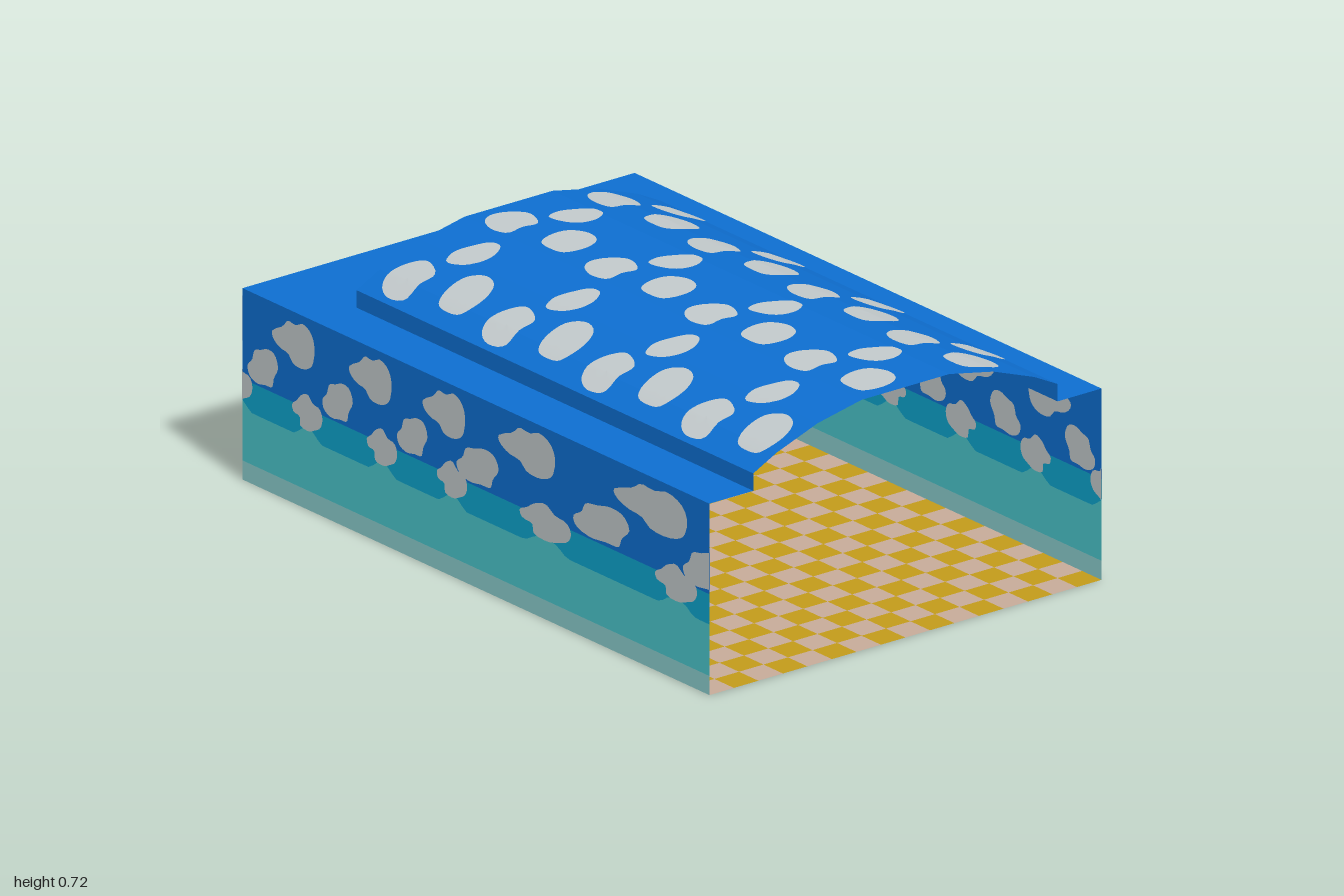
import * as THREE from 'three';
import { mergeGeometries } from 'three/addons/utils/BufferGeometryUtils.js';

const W = 0.67, L = 1, H = 0.55;          // half width, half length, wall height
const DOME_W = 0.52, DOME_BACK = -0.7;

const mat = (name, color) => {
  const m = new THREE.MeshStandardMaterial({ color, side: THREE.DoubleSide });
  m.name = name;
  return m;
};

// Cross-section of the raised roof
const half = [[0.52, 0.55], [0.52, 0.6], [0.44, 0.64], [0.3, 0.69], [0.15, 0.72]];
const arch = [...half.map(([x, y]) => [-x, y]), ...half.slice().reverse()];
const archHeight = (x) => {
  const a = Math.min(Math.abs(x), DOME_W);
  for (let i = half.length - 1; i > 1; i--) {
    const [x0, y0] = half[i], [x1, y1] = half[i - 1];
    if (a <= x0) return y0;
    if (a <= x1) return y0 + (y1 - y0) * (a - x0) / (x1 - x0);
  }
  return 0.6;
};

// Cloud outlines in the range -1..1
const outlines = {
  upper: [[-0.95, -0.5], [-1, 0.3], [-0.8, 0.8], [-0.45, 1], [-0.1, 0.8], [0.25, 0.85], [0.5, 0.5], [1, 0.1],
    [0.97, -0.2], [0.65, -0.5], [0.25, -0.6], [0, -0.95], [-0.45, -1], [-0.8, -0.8]],
  middle: [[-1, 0.25], [-0.75, 0.9], [-0.3, 1], [0.15, 0.8], [0.55, 0.65], [0.72, 0.1], [1, -0.25],
    [0.9, -0.75], [0.4, -1], [-0.15, -0.9], [-0.6, -0.85], [-0.72, -0.35]],
  lower: [[-1, 0], [-0.8, 0.5], [-0.38, 0.6], [0, 1], [0.45, 0.75], [0.7, 0.4], [1, 0.1], [0.9, -0.3],
    [0.52, -0.4], [0.45, -0.9], [-0.1, -1], [-0.5, -0.8], [-0.85, -0.55]],
  roofA: [[-1, -0.15], [-0.7, 0.65], [-0.2, 1], [0.4, 0.9], [0.97, 0.35], [1, -0.15], [0.6, -0.95], [0, -0.85], [-0.8, -1]],
  roofB: [[-1, 0.75], [-0.35, 1], [0.35, 0.7], [0.95, 0.2], [1, -0.5], [0.35, -1], [-0.4, -0.9], [-0.85, -0.3]],
  roofC: [[-1, -0.2], [-0.85, 0.6], [-0.1, 1], [0.6, 0.92], [1, 0.2], [0.8, -0.6], [0.1, -1], [-0.85, -0.85]],
};
const curves = {};
for (const k in outlines) {
  curves[k] = new THREE.CatmullRomCurve3(outlines[k].map(([x, y]) => new THREE.Vector3(x, y, 0)), true);
}

// Grid of faces whose points follow fn(s, t), both 0..1
function sheet(nu, nv, fn) {
  const g = new THREE.PlaneGeometry(1, 1, nu, nv);
  const p = g.attributes.position;
  for (let i = 0; i < p.count; i++) p.setXYZ(i, ...fn(p.getX(i) + 0.5, p.getY(i) + 0.5));
  g.computeVertexNormals();
  return g;
}

// Cloud laid on both sides of a surface; place(u, v, d) gives the point at offset d
function cloud(kind, u, v, w, h, place, d) {
  return mergeGeometries([-d, d].map((off) => sheet(32, 4, (s, t) => {
    const c = curves[kind].getPoint(s % 1);
    return place(u + c.x * w / 2 * t, v + c.y * h / 2 * t, off);
  })));
}

export function createModel() {
  const group = new THREE.Group();
  const blue = mat('deep blue', 0x0d6ed0);
  const cyan = mat('cyan', 0x0da3cc);
  const turquoise = mat('turquoise', 0x4ac5cb);
  const pale = mat('pale teal', 0x8acccc);
  const white = mat('cloud grey', 0xc2c9cb);
  const yellow = mat('tile yellow', 0xc29b1a);
  const beige = mat('tile beige', 0xc6aa98);
  const add = (name, geometry, material, parent = group) => {
    const m = new THREE.Mesh(geometry, material);
    m.name = name;
    parent.add(m);
    return m;
  };

  // Checkered floor
  const tiles = [[], []], nx = 16, nz = 24, tw = 2 * W / nx, tl = 2 * L / nz;
  for (let i = 0; i < nx; i++) {
    for (let j = 0; j < nz; j++) {
      tiles[(i + j) % 2].push(new THREE.PlaneGeometry(tw, tl).rotateX(-Math.PI / 2)
        .translate(-W + (i + 0.5) * tw, 0, -L + (j + 0.5) * tl));
    }
  }
  add('floorYellowTiles', mergeGeometries(tiles[0]), yellow);
  add('floorBeigeTiles', mergeGeometries(tiles[1]), beige);

  // Walls: four horizontal bands with three rows of clouds [position, width]
  const row = (start, w) => [0, 1, 2, 3].map((i) => [start + 0.3815 * i, w]);
  const backRows = {
    upper: row(-0.63, 0.205), middle: row(-0.488, 0.155), lower: row(-0.709, 0.15),
  };
  const sideRows = {
    upper: [[0.78, 0.18], [0.45, 0.18], [0.135, 0.18], [-0.22, 0.24], [-0.75, 0.31]],
    middle: [[0.91, 0.13], [0.59, 0.13], [0.27, 0.13], [-0.01, 0.18], [-0.54, 0.24], [-0.98, 0.18]],
    lower: [[1.02, 0.13], [0.72, 0.13], [0.4, 0.13], [0.1, 0.13], [-0.3, 0.22], [-0.86, 0.18]],
  };
  const rowY = { upper: [0.463, 0.13], middle: [0.353, 0.112], lower: [0.28, 0.105] };

  function wall(name, extent, rows, place) {
    const g = new THREE.Group();
    g.name = name;
    group.add(g);
    // the turquoise band rises in a small crest below each low cloud
    const crest = (u) => 0.203 + rows.lower.reduce(
      (sum, [c, w]) => sum + 0.028 * Math.exp(-(((u - c) / (w * 0.32)) ** 4)), 0);
    const levels = [() => 0, () => 0.055, crest, () => 0.29, () => H];
    [['paleBand', pale], ['turquoiseBand', turquoise], ['cyanBand', cyan], ['blueBand', blue]].forEach(([n, m], i) => {
      add(n, sheet(100, 1, (s, t) => {
        const u = (s * 2 - 1) * extent;
        return place(u, levels[i](u) * (1 - t) + levels[i + 1](u) * t, 0);
      }), m, g);
    });
    const clamped = (u, v, d) => place(THREE.MathUtils.clamp(u, -extent, extent), v, d);
    const parts = [];
    for (const k in rows) {
      for (const [u, w] of rows[k]) parts.push(cloud(k, u, rowY[k][0], w, rowY[k][1], clamped, 0.002));
    }
    add('wallClouds', mergeGeometries(parts), white, g);
  }
  wall('backWall', W, backRows, (u, v, d) => [u, v, -L + d]);
  wall('leftWall', L, sideRows, (u, v, d) => [W + d, v, u]);
  wall('rightWall', L, sideRows, (u, v, d) => [-W - d, v, -u]);

  // Flat roof around the raised part
  const rim = new THREE.Shape([
    [-W, -L], [-DOME_W, -L], [-DOME_W, -DOME_BACK], [DOME_W, -DOME_BACK],
    [DOME_W, -L], [W, -L], [W, L], [-W, L],
  ].map(([x, y]) => new THREE.Vector2(x, y)));
  add('flatRoof', new THREE.ShapeGeometry(rim).rotateX(-Math.PI / 2).translate(0, H, 0), blue);

  // Raised arched roof, open at the front and closed at the back
  const shell = sheet(arch.length - 1, 1, (s, t) => {
    const [x, y] = arch[Math.round(s * (arch.length - 1))];
    return [x, y, L + (DOME_BACK - L) * t];
  }).toNonIndexed();
  shell.computeVertexNormals();
  add('archedRoof', shell, blue);
  const end = new THREE.Shape(arch.map(([x, y]) => new THREE.Vector2(x, y)));
  add('archedRoofEnd', new THREE.ShapeGeometry(end).rotateY(Math.PI)
    .translate(0, 0, DOME_BACK), blue);

  // Clouds on the arched roof, three to a tile
  const onRoof = (u, v, d) => [u, archHeight(u) + d, -v];
  const roofClouds = [];
  for (let i = 0; i < 3; i++) {
    for (let j = 0; j < 4; j++) {
      const x = 0.351 * i, z = 0.427 * j;
      roofClouds.push(
        cloud('roofA', x - 0.432, 0.593 - z, 0.148, 0.13, onRoof, 0.004),
        cloud('roofB', x - 0.265, 0.513 - z, 0.132, 0.108, onRoof, 0.004),
        cloud('roofC', x - 0.397, 0.381 - z, 0.152, 0.134, onRoof, 0.004));
    }
  }
  add('roofClouds', mergeGeometries(roofClouds), white);
  return group;
}
